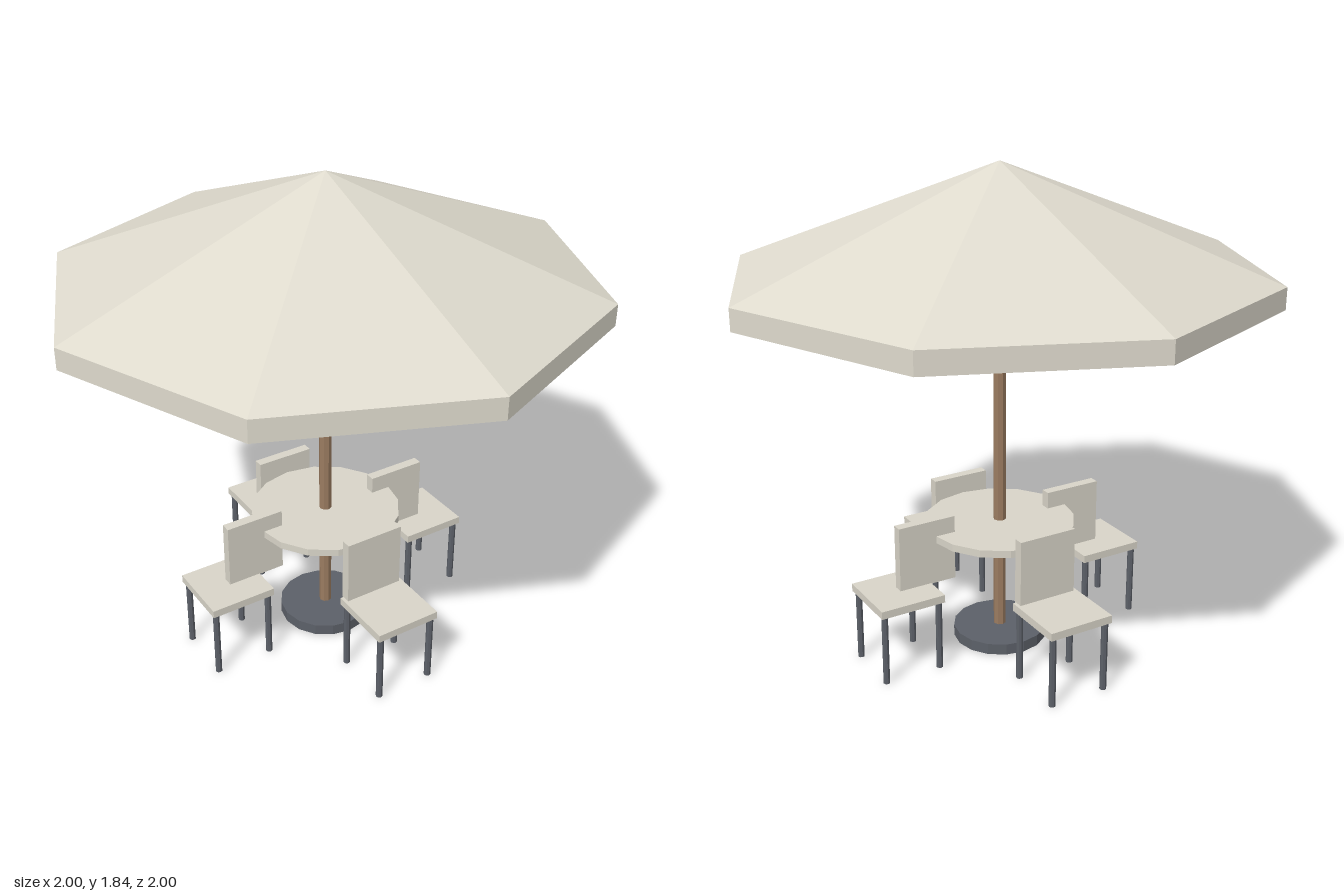
import * as THREE from 'three';

const material = (color, side = THREE.FrontSide) =>
  new THREE.MeshStandardMaterial({ color, flatShading: true, side });

const fabric = material(0xdedacd, THREE.DoubleSide);
const cream = material(0xd8d4c8);
const wood = material(0x9a7b60);
const metal = material(0x5c6068);

function add(parent, name, geometry, mat, x, y, z) {
  const mesh = new THREE.Mesh(geometry, mat);
  mesh.name = name;
  mesh.position.set(x, y, z);
  parent.add(mesh);
  return mesh;
}

// Upright prism between two heights
function post(parent, name, radius, y0, y1, sides, mat, x = 0, z = 0) {
  const geometry = new THREE.CylinderGeometry(radius, radius, y1 - y0, sides);
  return add(parent, name, geometry, mat, x, (y0 + y1) / 2, z);
}

// Chair outside the table in direction (dx, dz); every backrest faces along z
function makeChair(dx, dz) {
  const chair = new THREE.Group();
  chair.name = 'chair';
  const cx = dx * 0.437, cz = dz * 0.437;
  add(chair, 'seat', new THREE.BoxGeometry(0.256, 0.03, 0.256), cream, cx, 0.288, cz);
  add(chair, 'backrest', new THREE.BoxGeometry(0.23, 0.253, 0.038), cream,
    dx * 0.321, 0.427, dz * 0.321);
  for (const sx of [-1, 1]) {
    for (const sz of [-1, 1]) {
      post(chair, 'chairLeg', 0.0128, 0, 0.275, 8, metal, cx + sx * 0.11, cz + sz * 0.11);
    }
  }
  return chair;
}

export function createModel() {
  const model = new THREE.Group();
  model.name = 'parasolTableSet';

  // Weighted foot, pole and round table
  post(model, 'base', 0.18, 0, 0.043, 16, metal);
  post(model, 'pole', 0.024, 0.01, 1.755, 8, wood);
  post(model, 'tableTop', 0.287, 0.461, 0.489, 16, cream);

  // Eight-sided canopy, open underneath, with a hanging valance
  const canopy = new THREE.Group();
  canopy.name = 'canopy';
  add(canopy, 'canopyRoof', new THREE.ConeGeometry(1, 0.387, 8, 1, true), fabric, 0, 1.6485, 0);
  add(canopy, 'valance', new THREE.CylinderGeometry(1, 1, 0.08, 8, 1, true), fabric, 0, 1.415, 0);
  model.add(canopy);

  for (const [dx, dz] of [[1, 0], [-1, 0], [0, 1], [0, -1]]) model.add(makeChair(dx, dz));

  return model;
}
